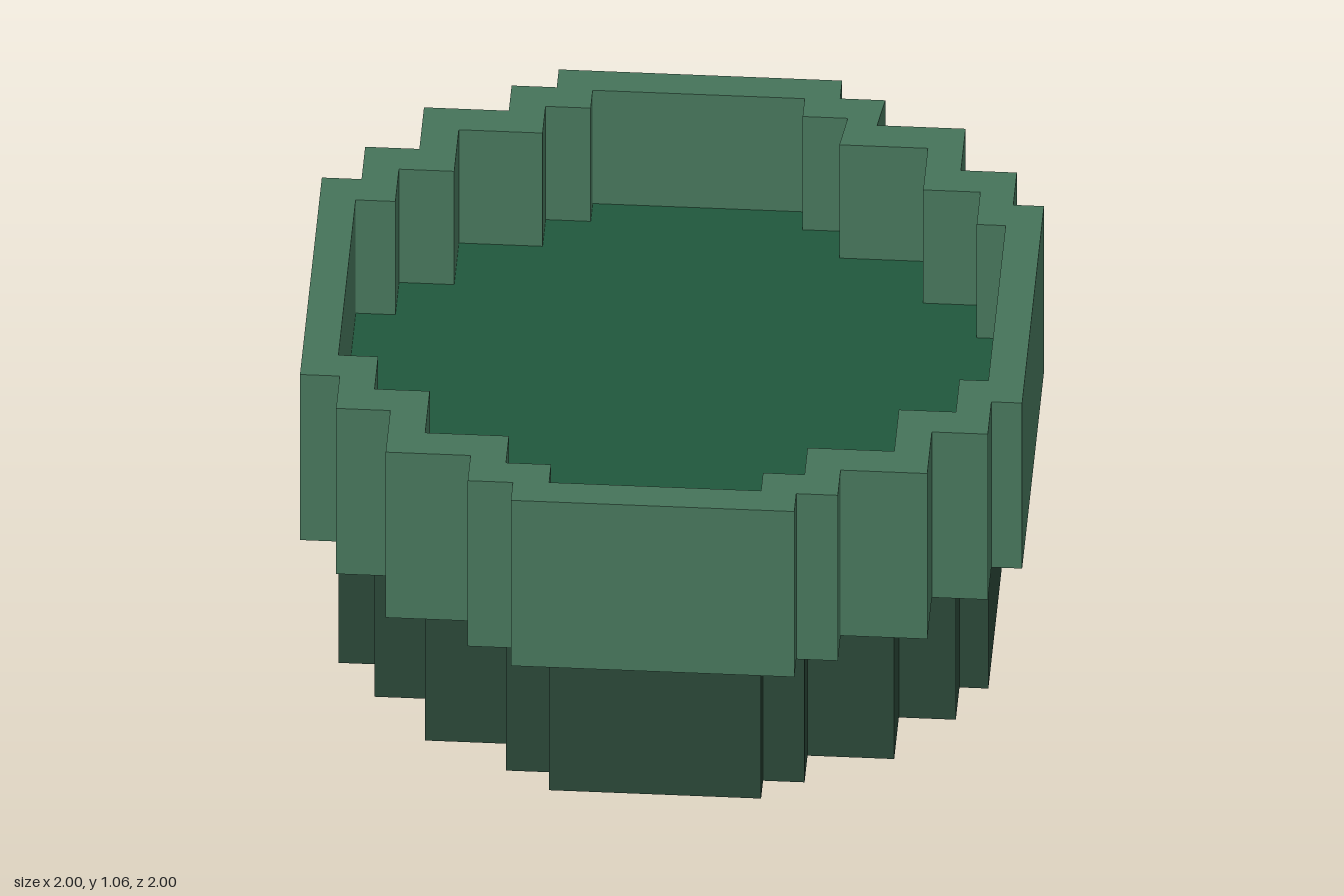
import * as THREE from 'three';

// Right, left and depth coordinates of each step, from the front face to the side
const OUTER = [[0.405, -0.38, 1], [0.52, -0.505, 0.917], [0.76, -0.74, 0.8], [0.915, -0.89, 0.607], [1, -1, 0.457]];
const INNER = [[0.307, -0.28, 0.91], [0.422, -0.405, 0.827], [0.662, -0.637, 0.703], [0.82, -0.79, 0.51], [0.9, -0.9, 0.36]];

// Stepped round outline; shape y becomes -z once laid flat
function steppedOutline(steps) {
  const corners = (column, sign) => steps.flatMap((s, i) => {
    const x = s[column];
    const pair = [[x, sign * s[2]]];
    if (i < steps.length - 1) pair.push([x, sign * steps[i + 1][2]]);
    return pair;
  });
  const backRight = corners(0, 1);
  backRight[2][0] += 0.01; // slightly skewed corner
  backRight[3][0] -= 0.005;
  return [
    ...corners(0, -1), ...backRight.reverse(),
    ...corners(1, 1), ...corners(1, -1).reverse(),
  ].map(([x, y]) => new THREE.Vector2(x, y));
}

function addPart(group, name, geometry, y, color) {
  geometry.rotateX(-Math.PI / 2);
  const mesh = new THREE.Mesh(geometry, new THREE.MeshStandardMaterial({ color, flatShading: true }));
  mesh.name = name;
  mesh.position.y = y;
  group.add(mesh);
}

export function createModel() {
  const group = new THREE.Group();
  group.name = 'steppedPot';
  const extrude = (shape, depth) => new THREE.ExtrudeGeometry(shape, { depth, bevelEnabled: false });

  // Narrow solid base
  const baseShape = new THREE.Shape(steppedOutline(INNER));
  addPart(group, 'base', extrude(baseShape, 0.49), 0, 0x294536);

  // Wide hollow rim
  const rimShape = new THREE.Shape(steppedOutline(OUTER));
  rimShape.holes.push(new THREE.Path(steppedOutline(INNER)));
  addPart(group, 'rim', extrude(rimShape, 0.57), 0.49, 0x457359);

  // Recessed floor inside the rim
  addPart(group, 'floor', new THREE.ShapeGeometry(baseShape), 0.67, 0x20573c);

  return group;
}
